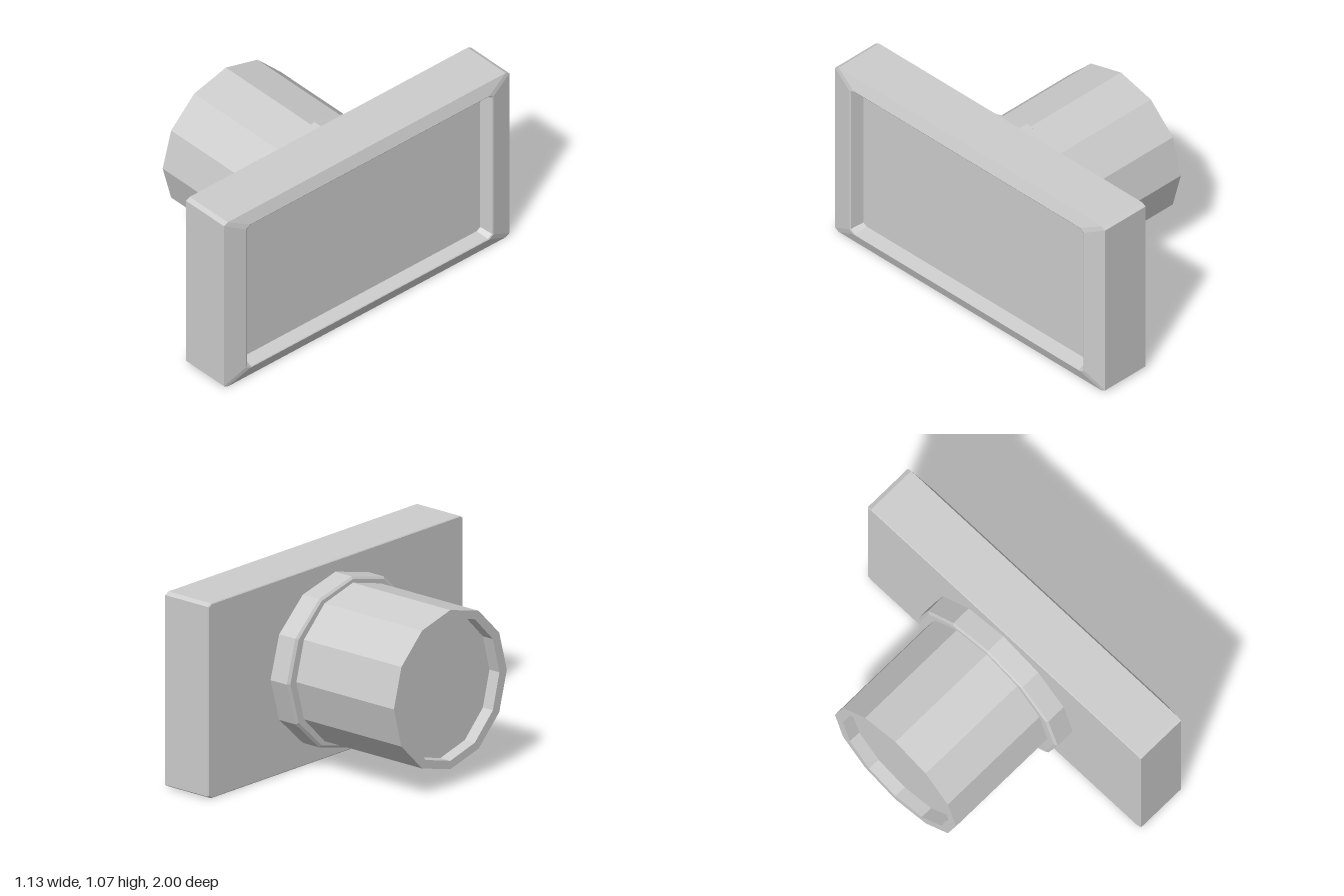
import * as THREE from 'three';

const CENTER_Y = 0.536;

// Twelve-sided ring around the x axis
function ring(x, rz, ry) {
  return Array.from({ length: 12 }, (_, i) => {
    const a = (i * Math.PI) / 6;
    return [x, CENTER_Y + ry * Math.sin(a), rz * Math.cos(a) - 0.004];
  });
}

// Rectangle with clipped corners, facing along x
function frame(x, hz, hy, cz, cy) {
  const z = hz - cz, y = hy - cy;
  return [[hz, -y], [hz, y], [z, hy], [-z, hy], [-hz, y], [-hz, -y], [-z, -hy], [z, -hy]]
    .map(([pz, py]) => [x, CENTER_Y + py, pz]);
}

// Join successive loops with flat faces and close both ends
function loft(loops) {
  const pos = [];
  const tri = (a, b, c) => pos.push(...a, ...b, ...c);
  const n = loops[0].length;
  for (let i = 0; i < loops.length - 1; i++) {
    for (let j = 0; j < n; j++) {
      const k = (j + 1) % n;
      const a = loops[i][j], b = loops[i][k], c = loops[i + 1][k], d = loops[i + 1][j];
      tri(a, d, c);
      tri(a, c, b);
    }
  }
  const first = loops[0], last = loops[loops.length - 1];
  for (let j = 1; j < n - 1; j++) {
    tri(first[0], first[j], first[j + 1]);
    tri(last[0], last[j + 1], last[j]);
  }
  const g = new THREE.BufferGeometry();
  g.setAttribute('position', new THREE.Float32BufferAttribute(pos, 3));
  g.computeVertexNormals();
  return g;
}

export function createModel() {
  const group = new THREE.Group();
  const grey = new THREE.MeshStandardMaterial({ color: 0xcccccc });
  grey.name = 'light grey';
  const add = (name, loops) => {
    const mesh = new THREE.Mesh(loft(loops), grey);
    mesh.name = name;
    group.add(mesh);
  };

  // Tube with a shallow recess in its open end
  add('tube', [
    ring(-0.498, 0.385, 0.392),
    ring(-0.568, 0.385, 0.392),
    ring(-0.568, 0.443, 0.438),
    ring(0.13, 0.443, 0.438),
  ]);

  // Collar between tube and plate
  add('collar', [
    ring(0.115, 0.49, 0.458),
    ring(0.125, 0.508, 0.471),
    ring(0.245, 0.508, 0.471),
  ]);

  // Plate with clipped corners, sloping border and recessed panel
  add('plate', [
    frame(0.238, 0.995, 0.531, 0.025, 0.014),
    frame(0.242, 1.0, 0.536, 0.025, 0.014),
    frame(0.54, 1.0, 0.536, 0.025, 0.014),
    frame(0.565, 0.868, 0.468, 0.03, 0.018),
    frame(0.562, 0.86, 0.463, 0.03, 0.018),
    frame(0.485, 0.845, 0.45, 0.025, 0.015),
  ]);

  return group;
}
